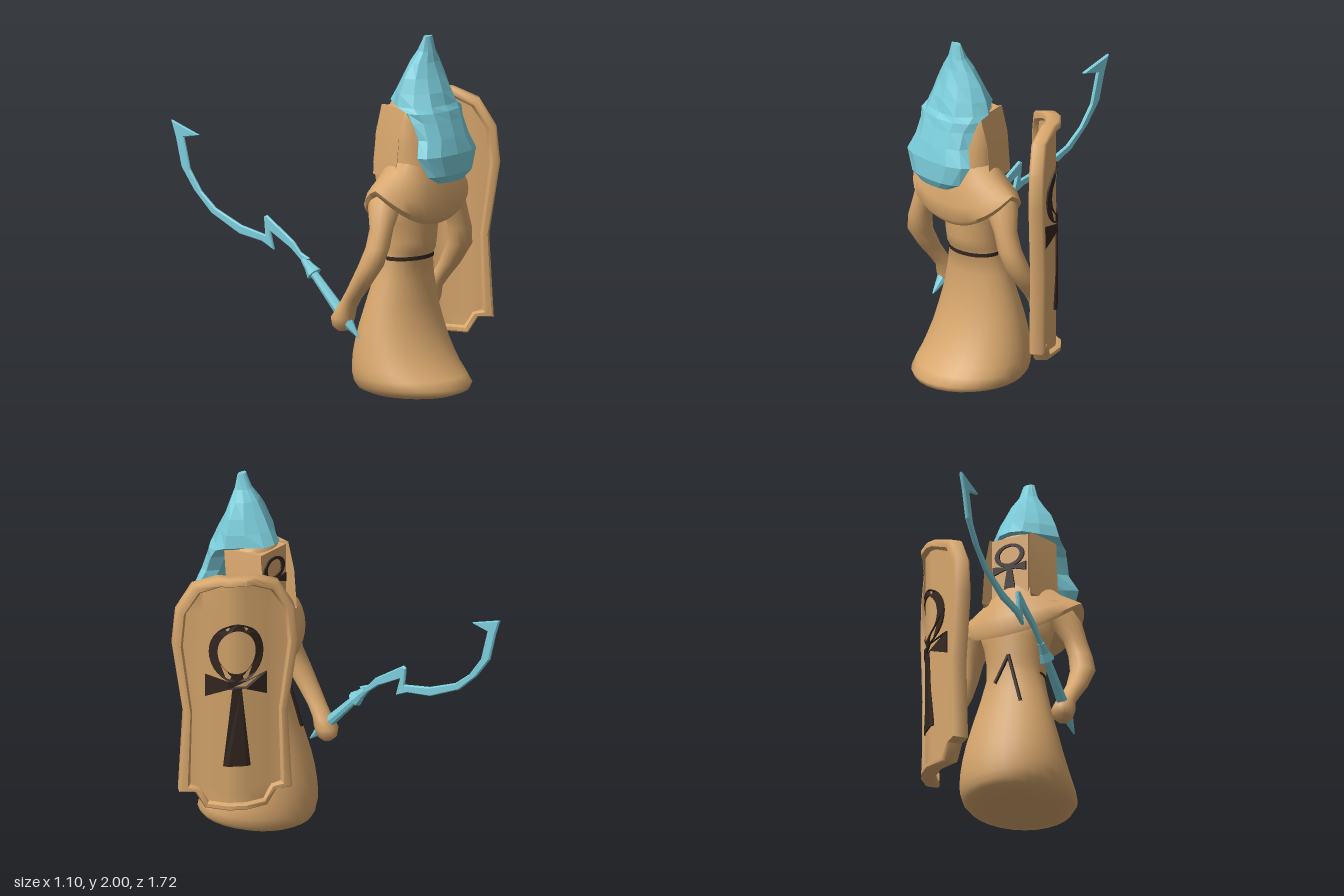
import * as THREE from 'three';
import { toCreasedNormals } from 'three/addons/utils/BufferGeometryUtils.js';

const V = (x, y, z) => new THREE.Vector3(x, y, z);
const CX = -0.1; // body centre line

// Elliptical ring at height y, spanning z0..z1
function ring(y, cx, rx, z0, z1, n = 28, jitter = () => 1) {
  return Array.from({ length: n }, (_, j) => {
    const a = (j / n) * Math.PI * 2, k = jitter(a);
    return V(cx + Math.cos(a) * rx * k, typeof y === 'function' ? y(a) : y,
      (z0 + z1) / 2 + Math.sin(a) * k * (z1 - z0) / 2);
  });
}

// Skin through equal-length rings, with optional end caps
function loft(rings, crease = 0.9, caps = true) {
  const n = rings[0].length, pts = rings.flat(), idx = [];
  for (let i = 0; i < rings.length - 1; i++)
    for (let j = 0; j < n; j++) {
      const k = (j + 1) % n, a = i * n + j, b = i * n + k, c = b + n, d = a + n;
      idx.push(a, d, c, a, c, b);
    }
  if (caps) [0, rings.length - 1].forEach((r, top) => {
    const mid = V(0, 0, 0);
    rings[r].forEach(p => mid.addScaledVector(p, 1 / n));
    pts.push(mid);
    for (let j = 0; j < n; j++) {
      const a = r * n + j, b = r * n + (j + 1) % n;
      idx.push(pts.length - 1, top ? b : a, top ? a : b);
    }
  });
  const g = new THREE.BufferGeometry().setFromPoints(pts);
  g.setIndex(idx);
  return toCreasedNormals(g, crease);
}

const poly = pts => new THREE.Shape(pts.map(p => new THREE.Vector2(...p)));

// Looped cross with flared arms and leg; origin at the crossing, bent by a rule of x
function loopedCross(bend = () => 0) {
  const loop = new THREE.Shape().absellipse(0, 0.205, 0.15, 0.17, 0, Math.PI * 2);
  loop.holes.push(new THREE.Path().absellipse(0, 0.21, 0.105, 0.128, 0, Math.PI * 2, true));
  const arms = poly([[-0.17, -0.06], [-0.05, -0.005], [0.05, -0.005], [0.17, -0.06],
    [0.17, 0.07], [0.05, 0.04], [-0.05, 0.04], [-0.17, 0.07]]);
  const leg = poly([[-0.075, -0.46], [-0.05, -0.46], [0.05, -0.46], [0.075, -0.46], [0.025, 0], [-0.025, 0]]);
  const g = new THREE.ExtrudeGeometry([loop, arms, leg], { depth: 0.009, bevelEnabled: false, curveSegments: 16 });
  const p = g.attributes.position;
  for (let i = 0; i < p.count; i++) p.setZ(i, p.getZ(i) + bend(p.getX(i)));
  g.computeVertexNormals();
  return g;
}

export function createModel() {
  const model = new THREE.Group();
  const mat = (name, color) => Object.assign(new THREE.MeshStandardMaterial({ color }), { name });
  const tan = mat('tan cloth', 0xd8a76d), cyan = mat('cyan crystal', 0x7bcddb), dark = mat('dark paint', 0x33261f);
  const add = (name, geo, m, parent = model) => {
    const mesh = new THREE.Mesh(geo, m);
    mesh.name = name;
    parent.add(mesh);
    return mesh;
  };

  // Robe: y, half width, back z, front z
  add('robe', loft([
    [0, 0.12, 0.36, 0.7], [0.012, 0.23, 0.26, 0.79], [0.035, 0.285, 0.215, 0.85], [0.065, 0.31, 0.2, 0.862],
    [0.11, 0.317, 0.195, 0.815], [0.16, 0.312, 0.197, 0.765], [0.22, 0.302, 0.203, 0.725], [0.29, 0.288, 0.218, 0.685],
    [0.38, 0.268, 0.243, 0.65], [0.5, 0.235, 0.28, 0.618], [0.65, 0.195, 0.325, 0.605],
    [0.77, 0.165, 0.345, 0.612], [0.8, 0.168, 0.345, 0.634], [0.86, 0.168, 0.345, 0.645], [0.97, 0.185, 0.34, 0.65],
    [1.08, 0.22, 0.34, 0.66], [1.2, 0.14, 0.4, 0.64],
  ].map(([y, rx, z0, z1]) => ring(y, CX, rx, z0, z1)), 2), tan);

  // Belt tucked under the chest and sinking into the back, and two loose ends there
  add('belt', loft([0.756, 0.778].map(y => ring(y, CX, 0.1685, 0.36, 0.62)), 0.9, false), dark);
  [[-0.05, 0.7, 0.333], [-0.22, 0.55, 0.314]].forEach(([x, y, z]) => {
    const path = new THREE.LineCurve3(V(-0.13, 0.86, 0.341), V(x, y, z));
    add('beltEnd', new THREE.TubeGeometry(path, 4, 0.01, 6), dark);
  });

  // Cape collar: high on the shoulders, dipping at front and back, corners set forward
  const dip = (base, drop) => a => base - drop * Math.pow(Math.abs(Math.sin(a)), 1.3);
  add('collar', loft([
    [1.13, 0.13, 0.27, 0.37, 0.63], [1.155, 0.19, 0.345, 0.315, 0.705], [1.185, 0.19, 0.364, 0.305, 0.73],
    [1.205, 0.12, 0.335, 0.315, 0.73], [1.265, 0.06, 0.235, 0.37, 0.71], [1.33, 0, 0.16, 0.42, 0.68],
  ].map(([base, drop, rx, z0, z1]) => ring(dip(base, drop), CX, rx, z0, z1, 36).map(p => {
    p.z += 0.14 * Math.max(0, Math.abs(p.x - CX) - 0.05);
    return p;
  }))), tan);

  // Arms ending in fists: y, x offset, z, radius
  const armRows = [
    [0.38, 0.37, 0.335, 0.025], [0.405, 0.37, 0.335, 0.055], [0.455, 0.37, 0.34, 0.067], [0.51, 0.368, 0.365, 0.055],
    [0.57, 0.378, 0.41, 0.053], [0.65, 0.385, 0.47, 0.06], [0.77, 0.38, 0.545, 0.07], [0.87, 0.353, 0.57, 0.066],
    [0.97, 0.32, 0.57, 0.065], [1.08, 0.27, 0.55, 0.09], [1.18, 0.2, 0.53, 0.1],
  ];
  for (const s of [1, -1])
    add(s > 0 ? 'leftArm' : 'rightArm', loft(armRows.map(([y, x, z, r]) =>
      ring(y, CX + s * x, r, z - r, z + r, 14)), 1.2), tan);

  // Hood with two rear ridges and a painted back panel
  const hood = new THREE.Group();
  hood.name = 'hood';
  model.add(hood);
  add('hoodShell', loft([
    [1.22, 0.18, 0.42, 0.71], [1.4, 0.18, 0.42, 0.69], [1.54, 0.165, 0.43, 0.66],
    [1.61, 0.14, 0.43, 0.64], [1.645, 0.07, 0.46, 0.58],
  ].map(([y, rx, z0, z1]) => ring(y, CX, rx, z0, z1, 20)), 0.9), tan, hood);
  for (const s of [1, -1]) {
    const tri = (y, k, dz) => {
      const t = [[0.2, 0.58], [0.09, 0.5], [0.14, 0.37]].map(([x, z]) => V(CX + s * x * k, y, z + dz));
      return s > 0 ? t : t.reverse();
    };
    add('hoodRidge', loft([tri(1.22, 1.06, 0), tri(1.45, 0.98, 0.01), tri(1.61, 0.88, 0.04)], 0.3), tan, hood);
  }
  const panel = add('hoodPanel', new THREE.BoxGeometry(0.22, 0.38, 0.08), tan, hood);
  panel.position.set(CX, 1.41, 0.455);
  const sign = add('hoodSign', loopedCross(), dark, hood);
  sign.scale.set(0.6, 0.4, 1);
  sign.rotation.y = Math.PI;
  sign.position.set(CX, 1.41, 0.415);

  // Faceted crystal mask, narrow behind: y, half width, back z, front z
  add('crystalMask', loft([
    [1.215, 0.1, 0.77, 0.82], [1.26, 0.18, 0.735, 0.845], [1.37, 0.255, 0.675, 0.845], [1.46, 0.2, 0.63, 0.825],
    [1.55, 0.2, 0.59, 0.795], [1.6, 0.215, 0.54, 0.778], [1.63, 0.205, 0.41, 0.768], [1.7, 0.185, 0.44, 0.742],
    [1.78, 0.15, 0.485, 0.71], [1.86, 0.1, 0.53, 0.68], [1.92, 0.06, 0.575, 0.668], [2, 0.035, 0.615, 0.65],
  ].map(([y, rx, z0, z1], i) => ring(y, CX, rx, z0, z1, 12, a => {
    const h = Math.sin((i + 1) * 12.99 + Math.round(Math.sin(a) * 10) * 78.23) * 437.58;
    return 0.94 + 0.11 * (h - Math.floor(h));
  }).map(p => {
    const back = Math.max(0, ((z0 + z1) / 2 - p.z) / (z1 - z0));
    p.x = CX + (p.x - CX) * (1 - 0.8 * back);
    return p;
  })), 0.01), cyan);

  // Staff: spike, grip, collar and jagged hooked blade in the side plane
  const staff = new THREE.Group();
  staff.name = 'staff';
  staff.position.set(-0.475, 0.355, 0.455);
  staff.rotation.x = -Math.PI / 4;
  model.add(staff);
  [['spike', 0.036, 0.004, 0.12, 0.06], ['grip', 0.022, 0.034, 0.35, 0.29],
    ['gripCollar', 0.03, 0.044, 0.045, 0.465], ['gripCap', 0.02, 0.03, 0.06, 0.515]].forEach(([name, top, bottom, h, y]) => {
    add(name, toCreasedNormals(new THREE.CylinderGeometry(top, bottom, h, 8), 0.5), cyan, staff).position.y = y;
  });
  const blade = add('blade', new THREE.ExtrudeGeometry(poly([
    [0.08, 0.71], [0.11, 0.75], [0.05, 0.775], [0, 0.83], [-0.19, 0.95], [-0.21, 0.94], [-0.2, 0.84], [-0.37, 0.87],
    [-0.55, 0.94], [-0.65, 1.02], [-0.73, 1.13], [-0.775, 1.305], [-0.67, 1.33], [-0.86, 1.39],
    [-0.83, 1.3], [-0.79, 1.14], [-0.7, 1.02], [-0.58, 0.91], [-0.38, 0.82], [-0.22, 0.8],
    [-0.14, 0.765], [-0.17, 0.87], [-0.02, 0.79],
  ]), { depth: 0.008, bevelThickness: 0.007, bevelSize: 0.006, bevelOffset: -0.006, bevelSegments: 1 }), cyan);
  blade.rotation.y = -Math.PI / 2;
  blade.position.x = -0.471;

  // Bowed shield; u runs across it, n points outward
  const shield = new THREE.Group();
  shield.name = 'shield';
  model.add(shield);
  const S = Math.SQRT1_2;
  const bow = u => {
    const d = Math.abs(u);
    return d < 0.05 ? 0.085 : d < 0.18 ? 0.085 - (d - 0.05) * 0.5 : 0.02 * (0.345 - d) / 0.165;
  };
  const at = (u, y, n) => V(0.28 + (u + bow(u) + n) * S, y, 0.385 + (u - bow(u) - n) * S);
  const outer = [[0, 0.245], [0.05, 0.245], [0.17, 0.245], [0.225, 0.335], [0.31, 0.335], [0.285, 0.8], [0.345, 1.2],
    [0.325, 1.4], [0.235, 1.55], [0.1, 1.605], [0.05, 1.607], [0, 1.607]];
  const inner = [[0, 0.285], [0.05, 0.285], [0.15, 0.285], [0.195, 0.36], [0.245, 0.375], [0.235, 0.8], [0.285, 1.19],
    [0.268, 1.38], [0.19, 1.5], [0.085, 1.55], [0.05, 1.553], [0, 1.553]];
  // Closed outline, k of the way from the outer edge to the inner one
  const loop = (k, n) => {
    const h = outer.map(([u, y], i) => [u + (inner[i][0] - u) * k, y + (inner[i][1] - y) * k]);
    return [...h, ...h.slice(1, -1).map(([u, y]) => [-u, y]).reverse()].map(([u, y]) => at(u, y, n));
  };
  add('shieldRim', loft([
    [0, -0.03], [0, 0.03], [0.2, 0.042], [0.7, 0.042], [1, 0.01], [1, -0.01], [0.7, -0.042], [0.2, -0.042], [0, -0.03],
  ].map(([k, n]) => loop(k, n)), 0.9, false), tan, shield);
  add('shieldPanel', loft(inner.slice(2, 10).map(([w, y]) => {
    const e = w * 1.1, b = Math.min(0.18, e * 0.9), yy = 0.92 + (y - 0.92) * 1.03;
    const cols = [-e, -b, -0.05, 0.05, b, e];
    return [...cols.map(u => at(u, yy, 0.015)), ...cols.reverse().map(u => at(u, yy, -0.015))];
  }), 0.6), tan, shield);
  const emblem = add('shieldSign', loopedCross(bow), dark, shield);
  emblem.rotation.y = Math.PI * 0.75;
  emblem.position.set(0.28 + 0.016 * S, 0.96, 0.385 - 0.016 * S);

  return model;
}
